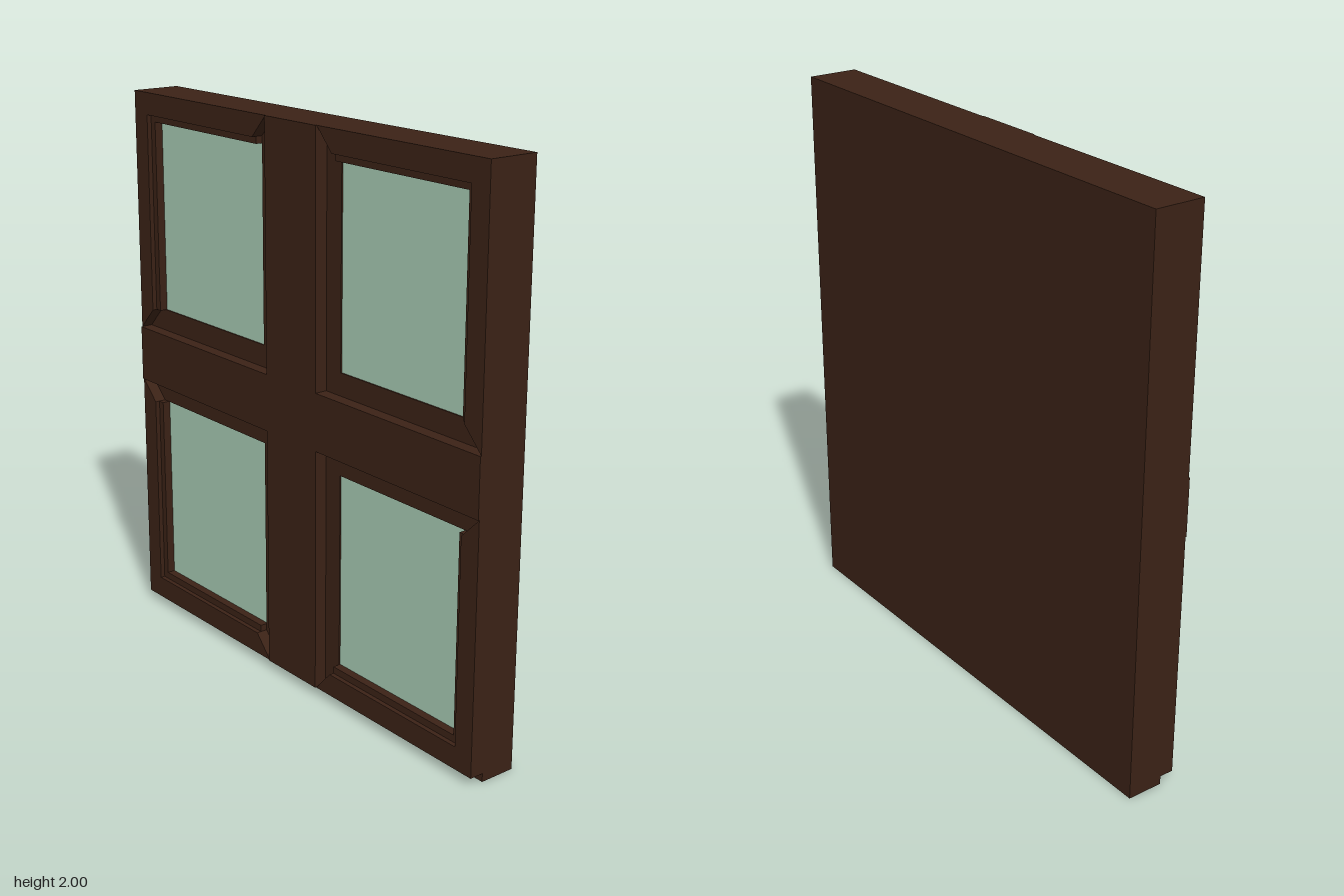
import * as THREE from 'three';

export function createModel() {
  const group = new THREE.Group();
  group.name = 'window';
  const wood = new THREE.MeshStandardMaterial({ color: 0x3b2216 });
  const glass = new THREE.MeshStandardMaterial({ color: 0xa8ccb4 });

  const BACK = -0.093, BASE = 0.038; // depth of the solid backing board

  function add(name, geometry, material) {
    const mesh = new THREE.Mesh(geometry, material);
    mesh.name = name;
    group.add(mesh);
  }

  function box(name, x0, x1, y0, y1, z0, z1, material = wood) {
    const g = new THREE.BoxGeometry(x1 - x0, y1 - y0, z1 - z0);
    g.translate((x0 + x1) / 2, (y0 + y1) / 2, (z0 + z1) / 2);
    add(name, g, material);
  }

  // Flat moulding raised from the backing board to depth z
  function moulding(name, points, z) {
    const shape = new THREE.Shape(points.map(([x, y]) => new THREE.Vector2(x, y)));
    const g = new THREE.ExtrudeGeometry(shape, { depth: z - BASE, bevelEnabled: false });
    g.translate(0, 0, BASE);
    add(name, g, wood);
  }

  // Backing board and the raised cross
  box('backingBoard', -0.922, 0.922, 0, 2, BACK, BASE);
  box('verticalBar', -0.135, 0.135, 0.03, 2, BASE, 0.093);
  box('horizontalBar', -0.922, 0.922, 0.91, 1.115, BASE, 0.093);

  // y levels of each row: outer edge, frame inside, lip inside, sill inside, bar edge
  const rows = [
    { row: 'upper', yo: 2, yf: 1.92, yg: 1.895, ys: 1.195, yb: 1.115 },
    { row: 'lower', yo: 0.03, yf: 0.11, yg: 0.135, ys: 0.835, yb: 0.91 },
  ];

  for (const { row, yo, yf, yg, ys, yb } of rows) {
    for (const s of [-1, 1]) {
      const label = row + (s > 0 ? 'Left' : 'Right');
      const side = (pts) => pts.map(([x, y]) => [s * x, y]);

      // High outer frame, mitred where it meets the bars
      moulding(label + 'OuterFrame', side([
        [0.922, yo], [0.135, yo], [0.21, yf], [0.845, yf], [0.845, ys], [0.922, yb],
      ]), 0.089);

      // Low frame along the bars
      moulding(label + 'InnerFrame', side([
        [0.135, yo], [0.21, yf], [0.21, ys], [0.845, ys], [0.922, yb], [0.135, yb],
      ]), 0.047);

      // Narrow lip stepping down to the glass
      moulding(label + 'Lip', side([
        [0.845, yf], [0.21, yf], [0.21, yg], [0.82, yg], [0.82, ys], [0.845, ys],
      ]), 0.072);

      // Glass pane
      const [x0, x1] = s > 0 ? [0.21, 0.82] : [-0.82, -0.21];
      box(label + 'Glass', x0, x1, Math.min(yg, ys), Math.max(yg, ys), BASE, 0.042, glass);
    }
  }
  return group;
}
